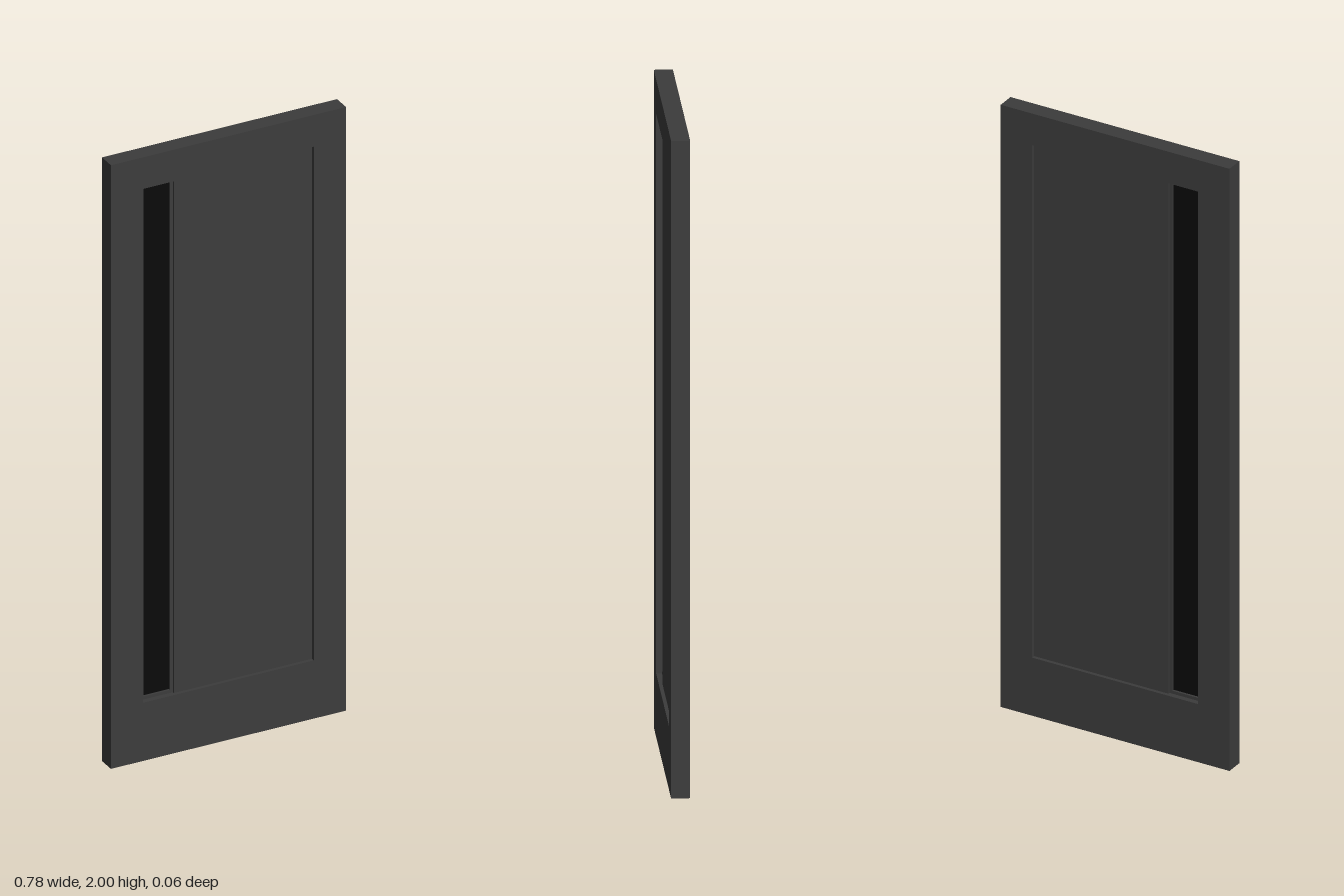
import * as THREE from 'three';

export function createModel() {
  const door = new THREE.Group();
  door.name = 'door';
  const paint = new THREE.MeshStandardMaterial({ color: 0x3c3c3c });
  const darkGlass = new THREE.MeshStandardMaterial({ color: 0x0a0a0a });

  // Box spanning x0..x1 and y0..y1, centred in depth
  function board(name, x0, x1, y0, y1, depth, material = paint) {
    const mesh = new THREE.Mesh(new THREE.BoxGeometry(x1 - x0, y1 - y0, depth), material);
    mesh.position.set((x0 + x1) / 2, (y0 + y1) / 2, 0);
    mesh.name = name;
    door.add(mesh);
  }

  const W = 0.39, H = 2, T = 0.056;          // half width, height, thickness
  const inner = 0.283, low = 0.193, high = 1.895; // opening between the frame boards
  const split = -0.175, bead = 0.01;         // edge between panel and glass strip

  // Frame
  board('leftStile', inner, W, 0, H, T);
  board('rightStile', -W, -inner, 0, H, T);
  board('topRail', -inner, inner, high, H, T);
  board('bottomRail', -inner, inner, 0, low, T);

  // Recessed solid panel
  board('panel', split, inner, low, high, 0.034);

  // Glazing beads holding the narrow glass strip
  const g0 = -inner + bead, g1 = split - bead;
  board('rightBead', -inner, g0, low, high, 0.022);
  board('leftBead', g1, split, low, high, 0.022);
  board('bottomBead', g0, g1, low, low + bead, 0.022);
  board('topBead', g0, g1, high - bead, high, 0.022);
  board('glass', g0, g1, low + bead, high - bead, 0.008, darkGlass);

  return door;
}
